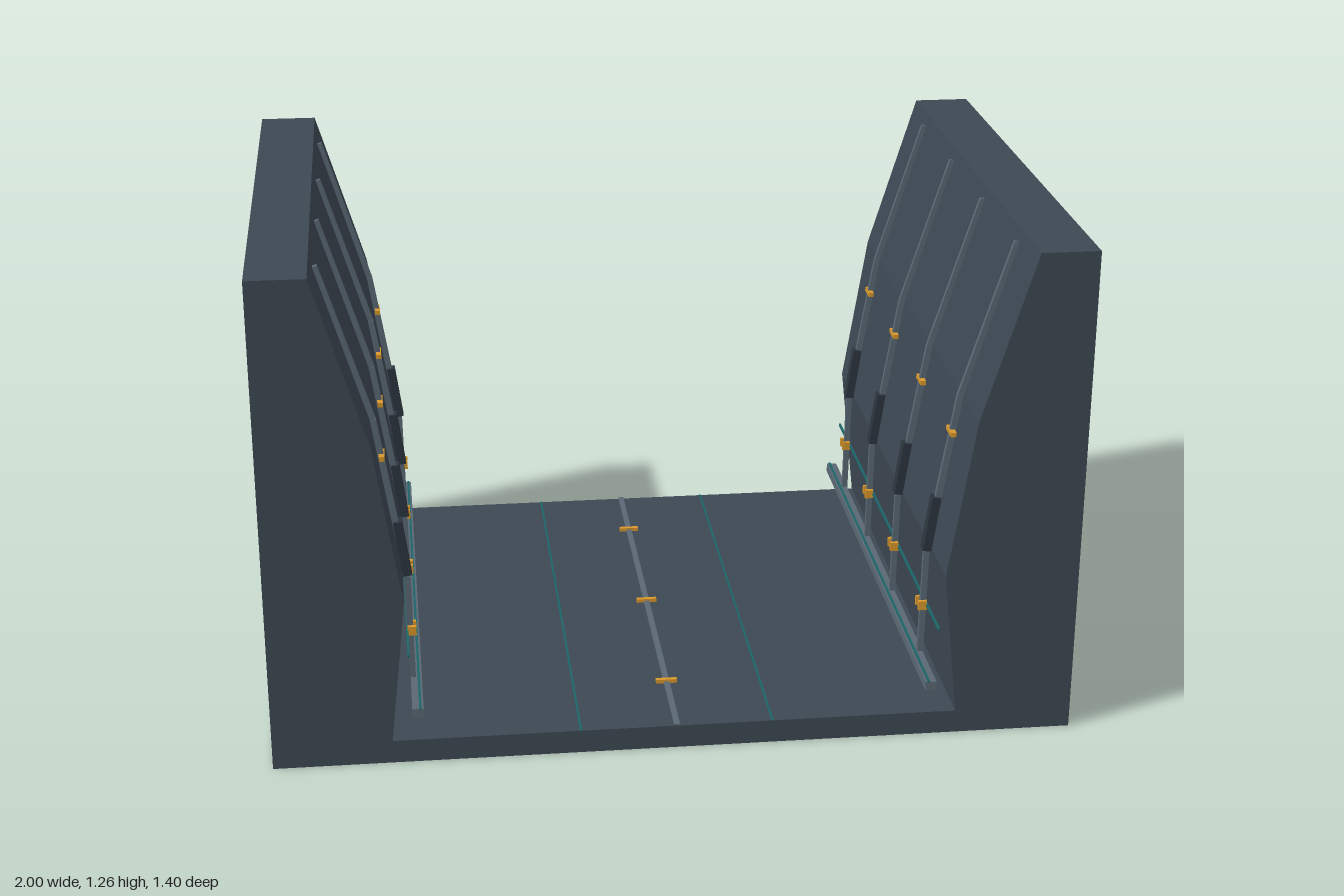
import * as THREE from 'three';

const mat = (color) => new THREE.MeshStandardMaterial({ color });

export function createModel() {
  const model = new THREE.Group();
  const hull = mat(0x3d4853), metal = mat(0x5a6874), dark = mat(0x2c353e);
  const teal = mat(0x1d6468), amber = mat(0xd9982b);

  const box = (parent, name, material, size, pos, rotZ = 0) => {
    const mesh = new THREE.Mesh(new THREE.BoxGeometry(...size), material);
    mesh.name = name;
    mesh.position.set(...pos);
    mesh.rotation.z = rotZ;
    parent.add(mesh);
    return mesh;
  };
  // Straight bar between two points of the x-y plane
  const beam = (parent, name, material, a, b, thick, depth, z) => {
    const dx = b[0] - a[0], dy = b[1] - a[1];
    return box(parent, name, material, [thick, Math.hypot(dx, dy), depth],
      [(a[0] + b[0]) / 2, (a[1] + b[1]) / 2, z], Math.atan2(-dx, dy));
  };

  // Floor and both walls as one channel section
  const wall = [[0.705, 0.06], [0.664, 0.435], [0.728, 0.845], [0.855, 1.265], [1, 1.265], [1, 0]];
  const outline = [...wall, ...wall.map(([x, y]) => [-x, y]).reverse()];
  const shape = new THREE.Shape(outline.map(([x, y]) => new THREE.Vector2(x, y)));
  const shell = new THREE.Mesh(
    new THREE.ExtrudeGeometry(shape, { depth: 1.4, bevelEnabled: false }).translate(0, 0, -0.7), hull);
  shell.name = 'channelShell';
  model.add(shell);

  // Floor strip, clips and seams
  const floor = new THREE.Group();
  floor.name = 'floorFittings';
  model.add(floor);
  box(floor, 'centreStrip', metal, [0.015, 0.006, 1.4], [0, 0.062, 0]);
  for (const z of [-0.47, 0, 0.47]) box(floor, 'floorClip', amber, [0.054, 0.012, 0.012], [0, 0.064, z]);
  for (const x of [-0.24, 0.24]) box(floor, 'floorSeam', teal, [0.006, 0.002, 1.4], [x, 0.0605, 0]);

  // Wall fittings, mirrored by sign
  for (const s of [1, -1]) {
    const side = new THREE.Group();
    side.name = s > 0 ? 'leftWallFittings' : 'rightWallFittings';
    model.add(side);
    box(side, 'lowerRail', metal, [0.028, 0.024, 1.4], [s * 0.64, 0.133, 0]);
    box(side, 'railStripe', teal, [0.006, 0.004, 1.4], [s * 0.634, 0.146, 0]);
    box(side, 'wallCable', teal, [0.006, 0.006, 1.36], [s * 0.658, 0.28, 0]);

    const path = [[0.843, 1.238], [0.721, 0.845], [0.653, 0.425], [0.648, 0.125]].map(([x, y]) => [s * x, y]);
    for (const z of [-0.53, -0.18, 0.17, 0.525]) {
      const rib = new THREE.Group();
      rib.name = 'rib';
      side.add(rib);
      beam(rib, 'upperRib', metal, path[0], path[1], 0.016, 0.012, z);
      beam(rib, 'middleRib', metal, path[1], path[2], 0.016, 0.014, z);
      beam(rib, 'post', metal, path[2], path[3], 0.015, 0.014, z);
      // Sleeve over the lower bend and the line beside it
      beam(rib, 'sleeve', dark, [s * 0.672, 0.575], [s * 0.652, 0.43], 0.022, 0.03, z);
      beam(rib, 'sideLine', teal, [s * 0.705, 0.75], [s * 0.656, 0.425], 0.005, 0.005, z - 0.014);
      // Upper pin and lower paired clamps
      box(rib, 'upperPin', amber, [0.014, 0.012, 0.055], [s * 0.703, 0.75, z]);
      for (const d of [-1, 1]) box(rib, 'clamp', amber, [0.022, 0.024, 0.01], [s * 0.646, 0.28, z + d * 0.015]);
    }
  }
  return model;
}
